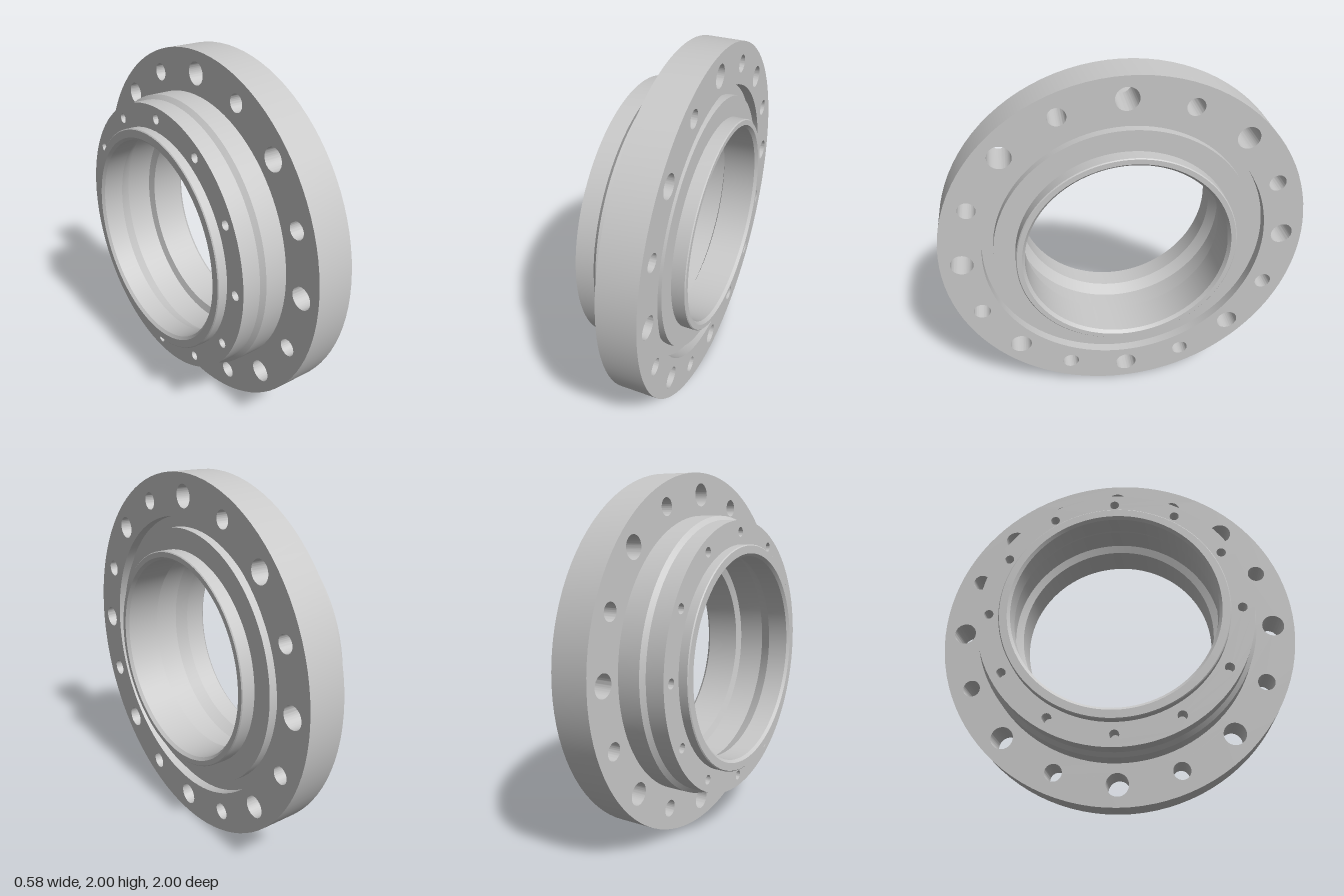
import * as THREE from 'three';
import { toCreasedNormals } from 'three/addons/utils/BufferGeometryUtils.js';

const steel = new THREE.MeshStandardMaterial({ color: 0xc8c8c8 });
steel.name = 'steel grey';

function part(name, geometry) {
  const mesh = new THREE.Mesh(toCreasedNormals(geometry, 0.3), steel);
  mesh.name = name;
  return mesh;
}

// Evenly spaced holes on a bolt circle; radii alternate through the list
function boltCircle(count, circleRadius, holeRadii) {
  return Array.from({ length: count }, (_, i) => {
    const a = (i / count) * Math.PI * 2;
    const r = holeRadii[i % holeRadii.length];
    return new THREE.Path().absarc(Math.cos(a) * circleRadius, Math.sin(a) * circleRadius, r, 0, Math.PI * 2, true);
  });
}

// Drilled ring lying across the x axis from x0 to x1
function drilledRing(name, outer, inner, x0, x1, holes) {
  const shape = new THREE.Shape().absarc(0, 0, outer, 0, Math.PI * 2, false);
  shape.holes.push(new THREE.Path().absarc(0, 0, inner, 0, Math.PI * 2, true), ...holes);
  const geometry = new THREE.ExtrudeGeometry(shape, { depth: x1 - x0, bevelEnabled: false, curveSegments: 48 });
  geometry.rotateY(Math.PI / 2);
  geometry.translate(x0, 0, 0);
  return part(name, geometry);
}

export function createModel() {
  const group = new THREE.Group();
  group.name = 'flangedHub';

  // Turned body: [radius, x], up the outside and back down the bore
  const profile = [
    // rear lip and shoulder
    [0.575, -0.288], [0.617, -0.288], [0.622, -0.283], [0.622, -0.135],
    [0.75, -0.135], [0.772, -0.113], [0.772, 0.01], [0.775, 0.01],
    // face groove, raised ring and front lip
    [0.775, 0.165], [0.715, 0.165], [0.715, 0.212], [0.6, 0.212],
    [0.6, 0.283], [0.595, 0.288], [0.568, 0.288], [0.553, 0.27],
    // bore with a wider middle chamber
    [0.553, 0.075], [0.595, 0.06], [0.595, -0.09], [0.56, -0.155],
    [0.56, -0.273], [0.575, -0.288],
  ].map(([r, x]) => new THREE.Vector2(r, x));
  const body = new THREE.LatheGeometry(profile, 96);
  body.rotateZ(-Math.PI / 2);
  group.add(part('hubBody', body));

  // Wide flange with alternating large and small through holes
  group.add(drilledRing('flange', 1, 0.775, 0.01, 0.218, boltCircle(16, 0.883, [0.061, 0.047])));

  // Rear shoulder with small blind holes
  group.add(drilledRing('rearShoulder', 0.75, 0.622, -0.235, -0.135, boltCircle(12, 0.687, [0.026])));

  group.position.y = 1;
  return group;
}
